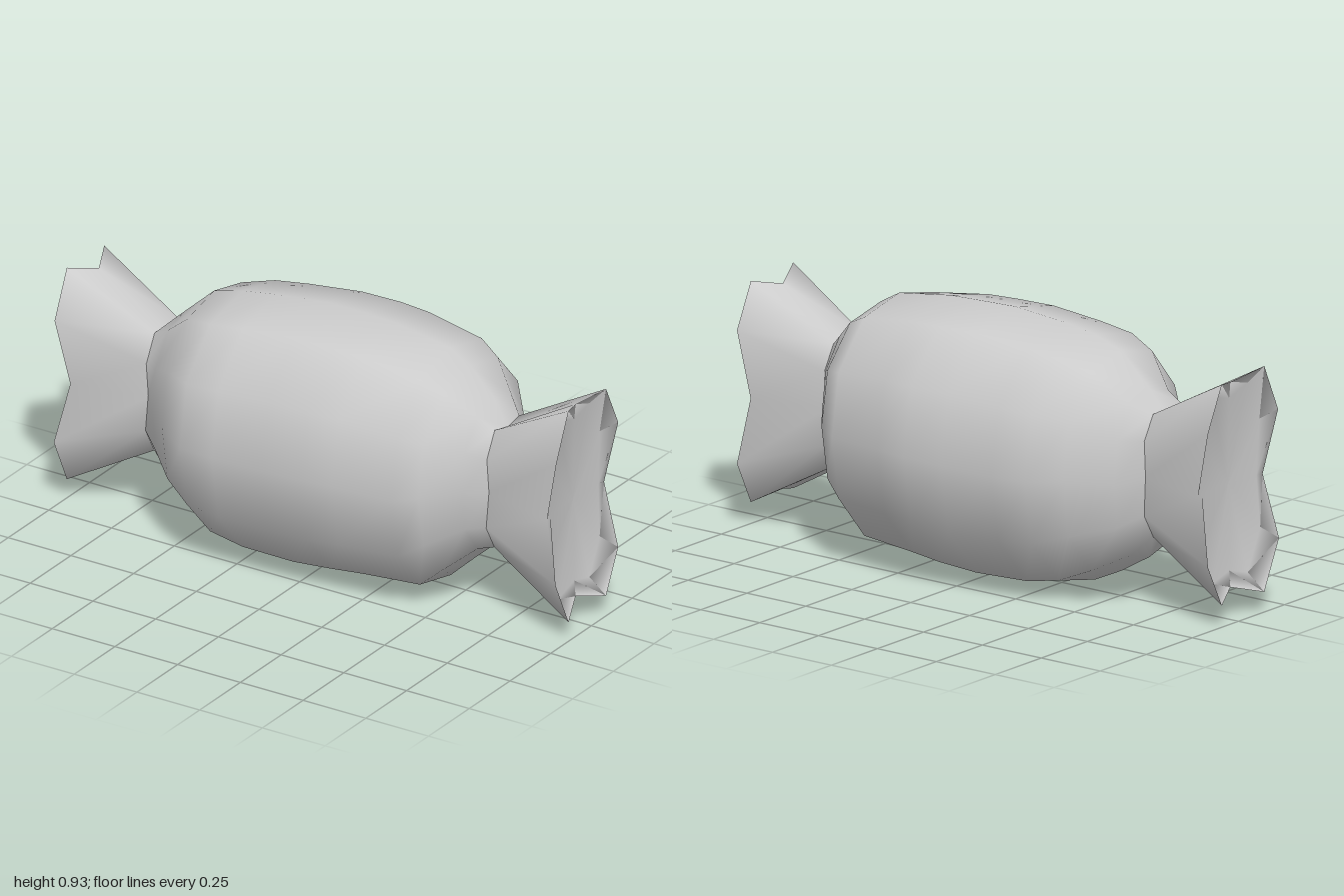
import * as THREE from 'three';

const SIDES = 12;

// Skin a list of closed rings (arrays of [x, y, z]) running towards +x, with smooth normals
function loft(name, rings) {
  const index = [];
  for (let i = 0; i < rings.length - 1; i++) {
    for (let j = 0; j < SIDES; j++) {
      const k = (j + 1) % SIDES;
      const a = i * SIDES + j, b = i * SIDES + k;
      index.push(a, b, a + SIDES, b, b + SIDES, a + SIDES);
    }
  }
  const geometry = new THREE.BufferGeometry();
  geometry.setAttribute('position', new THREE.Float32BufferAttribute(rings.flat(2), 3));
  geometry.setIndex(index);
  geometry.computeVertexNormals();
  const mesh = new THREE.Mesh(geometry, new THREE.MeshStandardMaterial({ color: 0xcccccc }));
  mesh.name = name;
  return mesh;
}

// Pleated outline of the flared wrapper end: [z, y, x], from the top towards +z
const FLARE = [
  [0.02, 0.82, 0.95], [0.14, 0.857, 1], [0.215, 0.69, 1],
  [0.195, 0.46, 0.95], [0.22, 0.24, 1], [0.14, 0.07, 1],
  [0.02, 0.105, 0.95], [-0.09, 0.075, 1], [-0.165, 0.225, 1],
  [-0.155, 0.46, 0.95], [-0.165, 0.69, 1], [-0.09, 0.845, 1],
];

// The flare outline shrunk about its middle, flattened to x when one is given
const flareRing = (sy, sz, x) => FLARE.map(([z, y, fx]) =>
  [x ?? fx, 0.465 + (y - 0.465) * sy, 0.02 + (z - 0.02) * sz]);
const knot = (x) => flareRing(0.55, 0.65, x);

// Body stations: x, top, bottom, back, front
const STATIONS = [
  [-0.62, 0.74, 0.155, -0.19, 0.2],
  [-0.5, 0.85, 0.085, -0.315, 0.325],
  [-0.38, 0.885, 0.03, -0.37, 0.4],
  [-0.25, 0.905, 0.005, -0.383, 0.405],
  [-0.05, 0.925, 0, -0.402, 0.407],
  [0.1, 0.922, 0.013, -0.413, 0.405],
  [0.22, 0.917, 0.025, -0.4, 0.393],
  [0.44, 0.885, 0.04, -0.365, 0.365],
  [0.52, 0.84, 0.115, -0.32, 0.325],
  [0.62, 0.75, 0.205, -0.19, 0.21],
];

function bodyRing([x, top, bottom, back, front]) {
  return Array.from({ length: SIDES }, (_, j) => {
    const a = (j / SIDES) * Math.PI * 2;
    const r = j % 3 ? 1.04 : 1; // slightly squarish section
    return [
      x,
      (top + bottom) / 2 + Math.cos(a) * r * (top - bottom) / 2,
      (front + back) / 2 + Math.sin(a) * r * (front - back) / 2,
    ];
  });
}

export function createModel() {
  const group = new THREE.Group();
  group.name = 'wrappedCandy';

  // Rounded body, pinched to a knot at each end
  group.add(loft('body', [knot(-0.68), ...STATIONS.map(bodyRing), knot(0.68)]));

  // Flared, closed wrapper ends with a shallow dished face
  const flare = [
    knot(0.675),
    flareRing(1, 1),
    flareRing(0.84, 0.84, 0.945),
    flareRing(0, 0, 0.94),
  ];
  const mirrored = flare.map((ring) => ring.map(([x, y, z]) => [-x, y, z])).reverse();
  group.add(loft('leftWrapperEnd', flare), loft('rightWrapperEnd', mirrored));

  return group;
}
